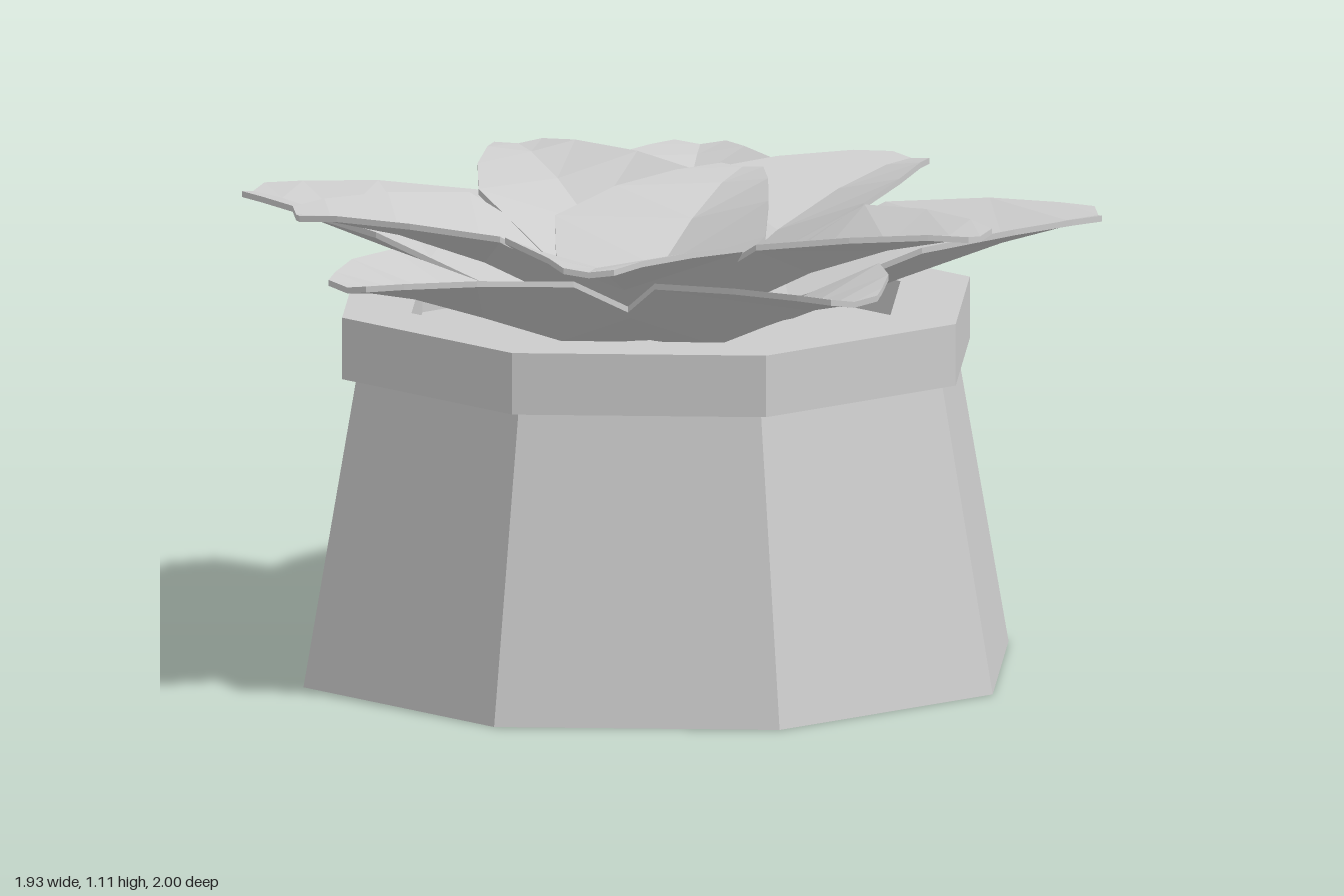
import * as THREE from 'three';

const CX = 0.07; // the plant and pot sit slightly off the middle

function material() {
  return new THREE.MeshStandardMaterial({ color: 0xcccccc, flatShading: true, side: THREE.DoubleSide });
}

// Eight-sided turned part with corners on the axes
function turned(name, profile) {
  const pts = profile.map(([r, y]) => new THREE.Vector2(r, y));
  const mesh = new THREE.Mesh(new THREE.LatheGeometry(pts, 8), material());
  mesh.name = name;
  mesh.position.x = CX;
  return mesh;
}

// Thin solid petal along +x from sections [distance, ribHeight, halfWidth, edgeLift]
function petalGeometry(sections, thickness = 0.014) {
  const pos = [], index = [];
  for (const [s, y, w, lift] of sections) {
    pos.push(s, y, -w + 0, s, y, 0, s, y, w);
    const n = pos.length;
    pos[n - 8] += lift;
    pos[n - 2] += lift;
    pos.push(s, y + lift - thickness, w, s, y - thickness, 0, s, y + lift - thickness, -w);
  }
  // loop of six points per section
  for (let i = 0; i < sections.length - 1; i++) {
    for (let j = 0; j < 6; j++) {
      const a = i * 6 + j, b = i * 6 + (j + 1) % 6;
      index.push(a, b, b + 6, a, b + 6, a + 6);
    }
  }
  // end caps
  for (const [o, flip] of [[0, false], [(sections.length - 1) * 6, true]]) {
    for (const [a, b, c] of [[0, 5, 4], [0, 4, 1], [1, 4, 3], [1, 3, 2]]) {
      if (flip) index.push(o + a, o + c, o + b);
      else index.push(o + a, o + b, o + c);
    }
  }
  const geo = new THREE.BufferGeometry();
  geo.setAttribute('position', new THREE.Float32BufferAttribute(pos, 3));
  geo.setIndex(index);
  geo.computeVertexNormals();
  return geo;
}

function petalRing(name, sections, degrees) {
  const ring = new THREE.Group();
  ring.name = name;
  ring.position.x = CX;
  const geo = petalGeometry(sections);
  degrees.forEach((d) => {
    const petal = new THREE.Mesh(geo, material());
    petal.name = 'petal';
    petal.rotation.y = -THREE.MathUtils.degToRad(d);
    ring.add(petal);
  });
  return ring;
}

export function createModel() {
  const model = new THREE.Group();
  model.name = 'pottedSucculent';

  // Pot body, rim and soil
  model.add(turned('potBody', [[0, 0], [0.865, 0], [0.735, 0.72]]));
  model.add(turned('potRim', [[0.6, 0.72], [0.77, 0.72], [0.77, 0.865], [0.6, 0.865], [0.6, 0.72]]));
  model.add(turned('soil', [[0.6, 0.78], [0, 0.78]]));

  // Long lower petals
  model.add(petalRing('lowerPetals', [
    [0.08, 0.78, 0.1, 0.03], [0.32, 0.82, 0.24, 0.09], [0.58, 0.91, 0.29, 0.11],
    [0.81, 0.985, 0.2, 0.055], [0.96, 1.02, 0.11, 0.022], [1.035, 1.03, 0.06, 0.01],
  ], [38, 108, 180, 250, 326]));

  // Shorter upper petals
  model.add(petalRing('upperPetals', [
    [0.06, 0.8, 0.1, 0.04], [0.2, 0.87, 0.2, 0.08], [0.4, 0.97, 0.28, 0.1],
    [0.6, 1.04, 0.2, 0.05], [0.76, 1.075, 0.11, 0.02], [0.84, 1.08, 0.06, 0.008],
  ], [1, 75, 147, 222, 289]));

  // Single steep petal in the middle, leaning to the back
  const heart = petalRing('centrePetal', [
    [-0.16, 0.82, 0.14, 0.05], [-0.06, 0.88, 0.23, 0.08], [0.02, 0.93, 0.275, 0.1],
    [0.18, 1.02, 0.2, 0.06], [0.33, 1.08, 0.12, 0.02], [0.43, 1.1, 0.055, 0.005],
  ], [-88]);
  model.add(heart);

  return model;
}
